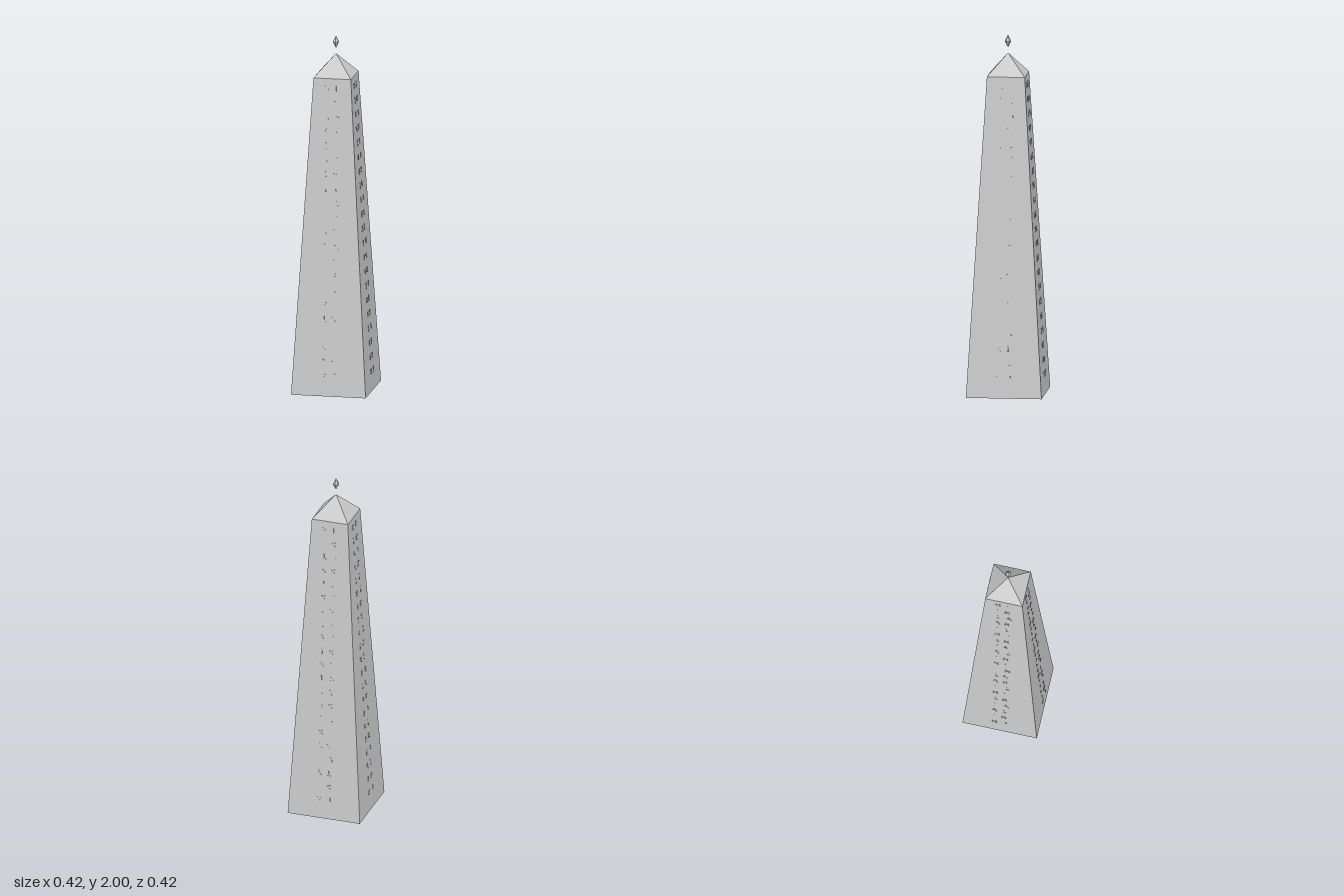
import * as THREE from 'three';

const BASE = 0.21, TOP = 0.105, SHAFT = 1.78, APEX = 1.9;
const material = new THREE.MeshStandardMaterial({ color: 0xcccccc, flatShading: true });

function part(name, geometry, y = 0) {
  const mesh = new THREE.Mesh(geometry, material);
  mesh.name = name;
  mesh.position.y = y;
  return mesh;
}

// Square frustum given by its half widths
function frustum(top, bottom, height) {
  const g = new THREE.CylinderGeometry(top * Math.SQRT2, bottom * Math.SQRT2, height, 4);
  return g.rotateY(Math.PI / 4).translate(0, height / 2, 0);
}

// Strokes of each carved sign: x, y, length, angle from vertical
const SIGNS = [
  [[0, 0, 0.034, 0]],
  [[0, 0, 0.034, 0.75], [0, 0, 0.034, -0.75]],
  [[0, 0.006, 0.02, 0], [0.004, -0.012, 0.016, 1.57]],
  [[-0.005, 0.008, 0.018, -0.6], [0.005, -0.006, 0.02, 0.5], [0, 0, 0.014, 1.57]],
];
// Sign used in each row, for the left and right columns
const LEFT = [1, 0, 3, 0, 2, 1, 0, 3, 2, 0];
const RIGHT = [0, 1, 2, 3, 1, 0, 2, 1, 3, 1];

// One column pair of raised signs, lying on the sloping front face
function inscription() {
  const panel = new THREE.Group();
  const stroke = new THREE.BoxGeometry(0.006, 1, 0.004);
  const rows = 21;
  for (let row = 0; row < rows; row++) {
    const y = 0.11 + row * 0.081;
    for (const [x, order] of [[-0.031, LEFT], [0.021 + 0.012 * (row % 3 === 0), RIGHT]]) {
      for (const [dx, dy, length, angle] of SIGNS[order[row % order.length]]) {
        const bar = part('signStroke', stroke, y + dy);
        bar.position.x = x + dx;
        bar.scale.y = length;
        bar.rotation.z = angle;
        panel.add(bar);
      }
    }
  }
  panel.position.z = BASE;
  panel.rotation.x = -Math.atan((BASE - TOP) / SHAFT);
  return panel;
}

export function createModel() {
  const model = new THREE.Group();
  model.name = 'obelisk';

  // Tapered shaft and pyramid cap
  model.add(part('shaft', frustum(TOP, BASE, SHAFT)));
  model.add(part('pyramidCap', frustum(0, TOP, APEX - SHAFT), SHAFT));

  // Six-sided crystal floating over the tip
  const outline = [[0, -0.035], [0.018, 0], [0, 0.035]].map(([x, y]) => new THREE.Vector2(x, y));
  model.add(part('floatingCrystal', new THREE.LatheGeometry(outline, 6), 1.965));

  // Inscriptions on the four faces
  ['front', 'left', 'back', 'right'].forEach((side, i) => {
    const face = new THREE.Group();
    face.name = side + 'Inscription';
    face.add(inscription());
    face.rotation.y = i * Math.PI / 2;
    model.add(face);
  });
  return model;
}
